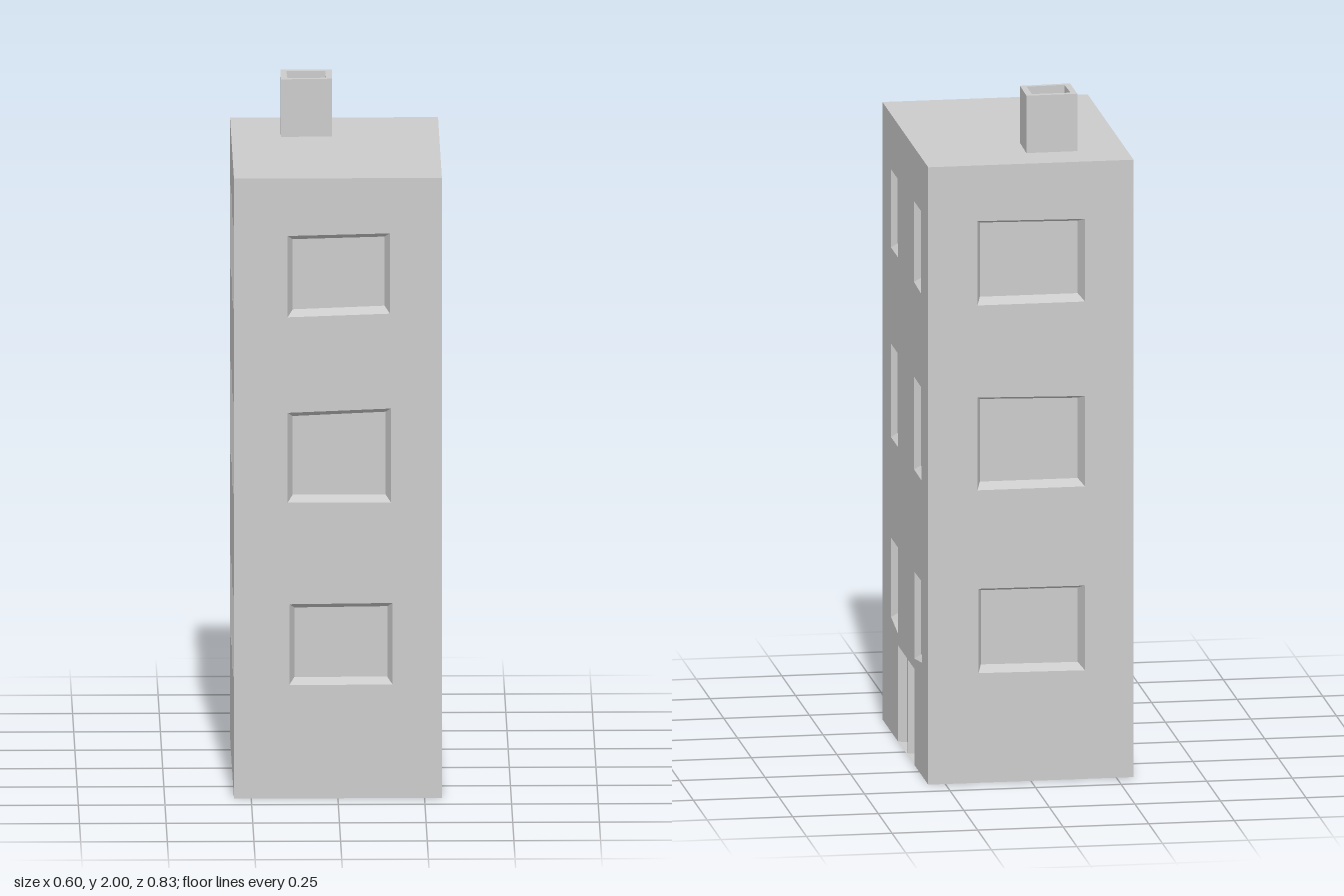
import * as THREE from 'three';

const W = 0.6, D = 0.83, H = 1.83;
const mat = new THREE.MeshStandardMaterial({ color: 0xcccccc, flatShading: true });

function add(parent, geometry, name) {
  const mesh = new THREE.Mesh(geometry, mat);
  mesh.name = name;
  parent.add(mesh);
  return mesh;
}

// Opening corners, counter-clockwise; the bottom and top edges may slope
const quad = (uL, uR, bL, bR, tL, tR) => [[uL, bL], [uR, bR], [uR, tR], [uL, tL]];

// Tapered recess behind an opening: four reveals and a back pane
function recess(q, { depth, side, bottom, top }) {
  const shift = [[side, bottom], [-side, bottom], [-side, -top], [side, -top]];
  const outer = q.map(([u, v]) => [u, v, 0]);
  const inner = q.map(([u, v], i) => [u + shift[i][0], v + shift[i][1], -depth]);
  const faces = [inner];
  for (let i = 0; i < 4; i++) {
    const j = (i + 1) % 4;
    faces.push([outer[i], outer[j], inner[j], inner[i]]);
  }
  const pos = faces.flatMap(([a, b, c, d]) => [a, b, c, a, c, d].flat());
  const g = new THREE.BufferGeometry();
  g.setAttribute('position', new THREE.Float32BufferAttribute(pos, 3));
  g.computeVertexNormals();
  return g;
}

const points = (list) => list.map(([x, y]) => new THREE.Vector2(x, y));

// Flat wall facing local +z with window holes and an optional doorway notch
function makeWall(name, width, windows, style, door) {
  const wall = new THREE.Group();
  wall.name = name;
  const notch = door ? [door[0], door[3], door[2], door[1]] : [];
  const shape = new THREE.Shape(points([
    [-width / 2, 0], ...notch, [width / 2, 0], [width / 2, H], [-width / 2, H],
  ]));
  for (const q of windows) {
    shape.holes.push(new THREE.Path(points(q)));
    add(wall, recess(q, style), 'window');
  }
  add(wall, new THREE.ShapeGeometry(shape), 'wallSurface');
  return wall;
}

export function createModel() {
  const building = new THREE.Group();
  building.name = 'building';

  // Front and back: one wide window per floor
  const front = makeWall('frontWall', W, [
    quad(-0.145, 0.15, 1.42, 1.43, 1.66, 1.667),
    quad(-0.145, 0.153, 0.873, 0.873, 1.138, 1.15),
    quad(-0.14, 0.158, 0.335, 0.335, 0.573, 0.576),
  ], { depth: 0.04, side: 0.015, bottom: 0.015, top: 0.018 });
  front.position.z = D / 2;

  const back = makeWall('backWall', W, [
    quad(-0.156, 0.158, 1.415, 1.415, 1.665, 1.66),
    quad(-0.156, 0.158, 0.867, 0.867, 1.142, 1.135),
    quad(-0.153, 0.158, 0.325, 0.322, 0.575, 0.573),
  ], { depth: 0.045, side: 0.014, bottom: 0.015, top: 0.015 });
  back.rotation.y = Math.PI;
  back.position.z = -D / 2;

  // Model's left (+x): two columns of narrow windows above a double door
  const door = quad(-0.132, 0.165, 0, 0, 0.285, 0.285);
  const doorStyle = { depth: 0.025, side: 0.01, bottom: 0, top: 0.012 };
  const left = makeWall('leftWall', D, [
    quad(-0.26, -0.132, 1.435, 1.435, 1.667, 1.667),
    quad(-0.26, -0.132, 0.873, 0.873, 1.15, 1.15),
    quad(-0.257, -0.135, 0.34, 0.32, 0.575, 0.575),
    quad(0.158, 0.288, 1.43, 1.425, 1.67, 1.67),
    quad(0.16, 0.297, 0.875, 0.873, 1.15, 1.148),
    quad(0.163, 0.303, 0.315, 0.335, 0.573, 0.575),
  ], { depth: 0.018, side: 0.01, bottom: 0.014, top: 0.012 }, door);
  add(left, recess(door, doorStyle), 'doorway');
  add(left, new THREE.BoxGeometry(0.008, 0.273, 0.02), 'doorMullion')
    .position.set(0.016, 0.1365, -0.015);
  left.rotation.y = Math.PI / 2;
  left.position.x = W / 2;

  // Model's right (-x): the same two columns without a door
  const rightWindows = [];
  for (const [b, t] of [[0.328, 0.568], [0.868, 1.14], [1.415, 1.66]]) {
    rightWindows.push(quad(-0.282, -0.13, b, b, t, t), quad(0.142, 0.3, b, b, t, t));
  }
  const right = makeWall('rightWall', D, rightWindows,
    { depth: 0.025, side: 0.01, bottom: 0.014, top: 0.012 });
  right.rotation.y = -Math.PI / 2;
  right.position.x = -W / 2;

  building.add(front, back, left, right);

  // Roof and underside
  const slab = new THREE.PlaneGeometry(W, D);
  const roof = add(building, slab, 'roof');
  roof.rotation.x = -Math.PI / 2;
  roof.position.y = H;
  add(building, slab, 'underside').rotation.x = Math.PI / 2;

  // Hollow, slightly irregular chimney
  const stack = new THREE.Shape(points(
    [[-0.157, 0.15], [-0.01, 0.158], [-0.008, 0.284], [-0.157, 0.282]]));
  stack.holes.push(new THREE.Path(points(
    [[-0.138, 0.166], [-0.027, 0.172], [-0.027, 0.265], [-0.14, 0.265]])));
  const chimney = add(building,
    new THREE.ExtrudeGeometry(stack, { depth: 2 - H, bevelEnabled: false }), 'chimney');
  chimney.rotation.x = -Math.PI / 2;
  chimney.position.y = H;

  return building;
}
